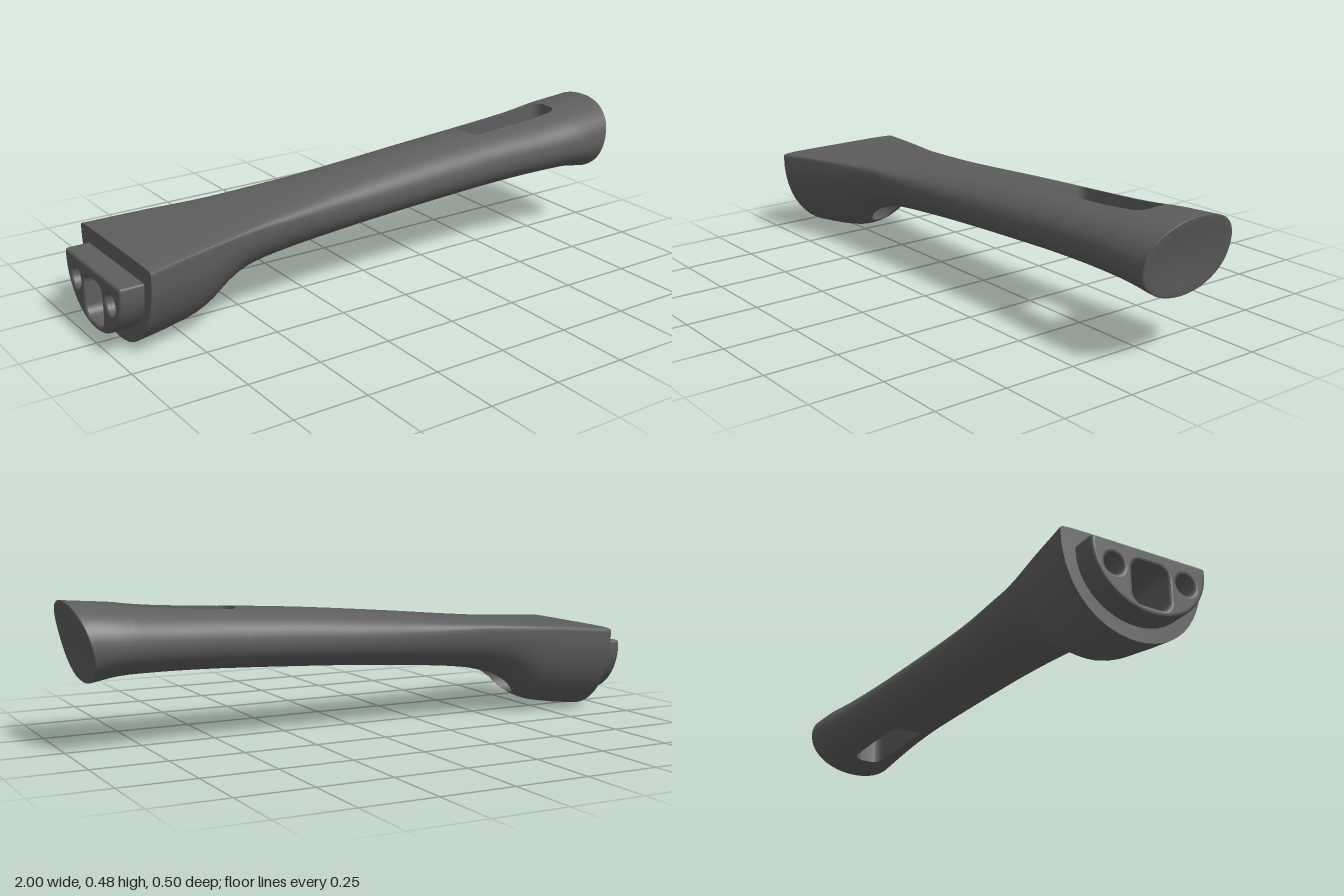
import * as THREE from 'three';

const TOP = 8, SIDE = 24, RING = 2 * (TOP + SIDE);
const BOTTOM = TOP + SIDE;            // index where the underside strip starts
const FRONT_X = -0.92, END_X = 0.954, SLOT = [0.445, 0.818];

// Stations along the grip: x, top, widest height, bottom, half width, top squareness
const STATIONS = [
  [-0.92, 0.31, 0.293, 0.003, 0.25, 6],
  [-0.8, 0.32, 0.302, 0.018, 0.226, 5.5],
  [-0.7, 0.328, 0.307, 0.04, 0.207, 5],
  [-0.65, 0.332, 0.308, 0.068, 0.197, 4.6],
  [-0.6, 0.337, 0.309, 0.11, 0.187, 4.2],
  [-0.55, 0.342, 0.31, 0.142, 0.178, 3.8],
  [-0.48, 0.35, 0.312, 0.164, 0.168, 3.4],
  [-0.4, 0.359, 0.312, 0.177, 0.163, 3],
  [-0.2, 0.381, 0.311, 0.196, 0.151, 2.5],
  [0, 0.4, 0.314, 0.211, 0.148, 2.3],
  [0.25, 0.421, 0.324, 0.225, 0.148, 2.2],
  [0.5, 0.437, 0.335, 0.236, 0.152, 2.2],
  [0.7, 0.45, 0.342, 0.24, 0.165, 2.2],
  [0.85, 0.468, 0.347, 0.236, 0.177, 2.2],
  [0.954, 0.48, 0.347, 0.22, 0.176, 2.2],
];
const stations = new THREE.CubicInterpolant(
  STATIONS.map((s) => s[0]), STATIONS.flatMap((s) => s.slice(1)), 5);

// Indexed surface through rows of points, with optional closing and skipped cells
function grid(rows, closed = true, skip = () => false) {
  const n = rows[0].length, index = [];
  for (let i = 0; i < rows.length - 1; i++) {
    for (let j = 0; j < (closed ? n : n - 1); j++) {
      if (skip(i, j)) continue;
      const k = (j + 1) % n;
      const a = i * n + j, b = i * n + k, c = a + n, d = b + n;
      index.push(a, b, c, b, d, c);
    }
  }
  const geo = new THREE.BufferGeometry();
  geo.setAttribute('position', new THREE.Float32BufferAttribute(rows.flat().flatMap((p) => p.toArray()), 3));
  geo.setIndex(index);
  geo.computeVertexNormals();
  return geo;
}

// Lean and dish of the cross-section planes
function lean(x, d) {
  const ss = THREE.MathUtils.smoothstep;
  const tilt = -0.13 * (ss(x, -0.4, 0.2) - ss(x, 0.6, 0.8)) + 0.25 * ss(x, 0.8, END_X);
  return x + tilt * d + 0.6 * ss(x, 0.82, END_X) * d * d;
}

// One closed ring; wt and wb are half widths of the strips reserved for openings
function section(x, wt, wb) {
  const [yT, yW, yB, W, nT] = stations.evaluate(x);
  const nB = 2.1, mid = (yT + yB) / 2, pts = [];
  const add = (z, y) => pts.push(new THREE.Vector3(lean(x, y - mid), y, z));
  const height = (z, edge, n) => yW + (edge - yW) * Math.pow(1 - Math.pow(Math.abs(z) / W, n), 1 / n);
  const side = [];
  const tt = Math.acos(Math.pow(wt / W, nT / 2)), tb = Math.acos(Math.pow(wb / W, nB / 2));
  const arc = (t, edge, n) => [W * Math.pow(Math.cos(t), 2 / n), yW + (edge - yW) * Math.pow(Math.sin(t), 2 / n)];
  for (let k = 0; k <= SIDE; k++) {
    const f = k / SIDE * 2;
    side.push(f <= 1 ? arc(tt * (1 - f), yT, nT) : arc(tb * (f - 1), yB, nB));
  }
  for (let k = 0; k < TOP; k++) { const z = wt * (2 * k / TOP - 1); add(z, height(z, yT, nT)); }
  for (let k = 0; k < SIDE; k++) add(...side[k]);
  for (let k = 0; k < TOP; k++) { const z = wb * (1 - 2 * k / TOP); add(z, height(z, yB, nB)); }
  for (let k = SIDE; k > 0; k--) add(-side[k][0], side[k][1]);
  return pts;
}

// Round-cornered half width of the hanging slot
function slotWidth(x) {
  const r = 0.034, e = Math.min(x - SLOT[0], SLOT[1] - x);
  if (e < -1e-6) return 0;
  const q = Math.max(0, r - e);
  return 0.053 - r + Math.sqrt(Math.max(0, r * r - q * q)) + 0.001;
}

// Half width of the screw recess where it cuts the underside
function recessWidth(x) {
  if (x < -0.7 || x > -0.45) return 0;
  const d = stations.evaluate(x)[2] - 0.11;
  const w = Math.sqrt(Math.max(0, 0.0025 - d * d));
  return w > 0.008 ? w : 0;
}

function roundRect(w, y0, y1, r) {
  const p = new THREE.Path();
  p.moveTo(w, y0 + r);
  p.lineTo(w, y1 - r); p.absarc(w - r, y1 - r, r, 0, Math.PI / 2);
  p.absarc(-w + r, y1 - r, r, Math.PI / 2, Math.PI);
  p.absarc(-w + r, y0 + r, r, Math.PI, Math.PI * 1.5);
  p.absarc(w - r, y0 + r, r, Math.PI * 1.5, Math.PI * 2);
  return p;
}

function socketHoles() {
  const holes = [roundRect(0.065, 0.075, 0.215, 0.035)];
  for (const s of [-1, 1]) holes.push(new THREE.Path().absarc(s * 0.125, 0.18, 0.033, 0, Math.PI * 2));
  return holes;
}

// U-shaped outline of the plug
function plugShape() {
  const s = new THREE.Shape();
  s.moveTo(-0.2, 0.235);
  s.absellipse(0, 0.235, 0.2, 0.185, Math.PI, Math.PI * 2);
  s.lineTo(0.2, 0.245);
  s.quadraticCurveTo(0.2, 0.255, 0.19, 0.255);
  s.lineTo(-0.19, 0.255);
  s.quadraticCurveTo(-0.2, 0.255, -0.2, 0.245);
  return s;
}

export function createModel() {
  const group = new THREE.Group();
  const grey = new THREE.MeshStandardMaterial({ color: 0x5e5e5e, side: THREE.DoubleSide });
  grey.name = 'dark grey plastic';
  const part = (name, geo) => {
    const m = new THREE.Mesh(geo, grey);
    m.name = name;
    group.add(m);
    return m;
  };

  // Station list, denser around the recess and the slot corners
  const xs = [];
  for (let i = 0; i < 10; i++) xs.push(FRONT_X + i * 0.024);
  for (let i = 0; i < 32; i++) xs.push(-0.68 + i * 0.006);
  for (let i = 0; i <= 26; i++) xs.push(-0.48 + i * 0.034);
  for (const e of [0, 0.002, 0.006, 0.012, 0.02, 0.034]) xs.push(SLOT[0] + e, SLOT[1] - e);
  for (let i = 1; i < 8; i++) xs.push(SLOT[0] + 0.034 + i * 0.038);
  for (let i = 1; i <= 9; i++) xs.push(SLOT[1] + (END_X - SLOT[1]) * i / 9);
  xs.sort((a, b) => a - b);

  const sw = xs.map(slotWidth), rw = xs.map(recessWidth);
  const rings = xs.map((x, i) => section(x, sw[i] || 0.03, sw[i] || rw[i] || 0.03));
  const inTop = (j) => j < TOP, inBottom = (j) => j >= BOTTOM && j < BOTTOM + TOP;
  part('grip', grid(rings, true, (i, j) =>
    (sw[i] && sw[i + 1] && (inTop(j) || inBottom(j))) ||
    (rw[i] && rw[i + 1] && inBottom(j))));

  // Loop around an opening, down one edge of the strip and back the other
  const loop = (open, a, b) => [
    ...open.map((r) => r[a]), ...open.slice().reverse().map((r) => r[b])];
  const slotRings = rings.filter((r, i) => sw[i]);
  part('hangingSlotWall', grid([
    loop(slotRings, TOP, 0), loop(slotRings, BOTTOM, BOTTOM + TOP)]));

  // Screw recess running forward into the bulge
  const mouth = loop(rings.filter((r, i) => rw[i]), BOTTOM, BOTTOM + TOP);
  const floor = mouth.map((p) => new THREE.Vector3(-0.72, p.y, p.z));
  part('screwRecessWall', grid([mouth, floor]));
  part('screwRecessFloor', grid([floor, floor.map(() => new THREE.Vector3(-0.72, 0.11, 0))]));

  // Dished end face with a softened rim
  const last = rings[rings.length - 1], c = 0.35;
  part('endFace', grid([1, 0.97, 0.75, 0.5, 0.25, 0].map((s, i) => last.map((p) => {
    const y = c + (p.y - c) * s;
    return new THREE.Vector3(lean(END_X, y - c) + (i ? 0.004 : 0), y, p.z * s);
  }))));

  // Front face with socket openings
  const faceShape = new THREE.Shape(rings[0].map((p) => new THREE.Vector2(p.z, p.y)).reverse());
  faceShape.holes = socketHoles();
  const face = part('frontFace', new THREE.ShapeGeometry(faceShape, 16));
  face.rotation.y = -Math.PI / 2;
  face.position.x = FRONT_X;

  // Plug that fits into the mount
  const shape = plugShape();
  shape.holes = socketHoles();
  const plug = part('plug', new THREE.ExtrudeGeometry(shape, {
    depth: 0.22, bevelEnabled: true, bevelSize: 0.01, bevelThickness: 0.01,
    bevelOffset: -0.01, bevelSegments: 3, curveSegments: 24,
  }));
  plug.rotation.y = -Math.PI / 2;
  plug.position.x = -0.77;

  // Closed bottom of the socket openings
  const back = part('socketFloor', new THREE.ShapeGeometry(plugShape(), 24));
  back.rotation.y = -Math.PI / 2;
  back.position.x = -0.765;

  return group;
}
